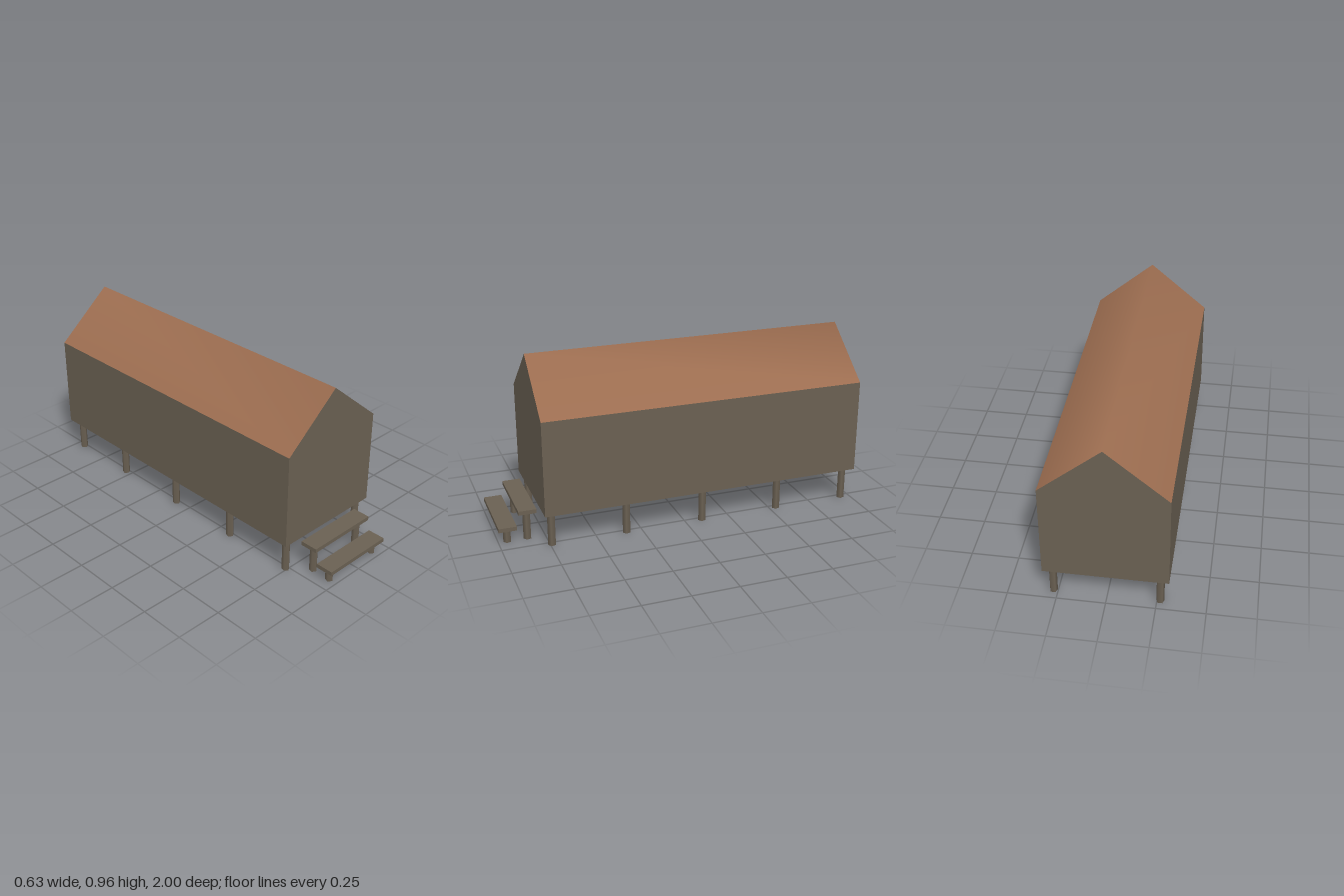
import * as THREE from 'three';

const wood = new THREE.MeshStandardMaterial({ color: 0x6a6052, side: THREE.DoubleSide });
wood.name = 'weathered wood';
const roofBrown = new THREE.MeshStandardMaterial({ color: 0x9c6d50, side: THREE.DoubleSide });
roofBrown.name = 'roof brown';

// Hut outline
const LEFT = 0.314, RIGHT = -0.314, FRONT = 0.78, BACK = -1;
const FLOOR = 0.18, EAVE = 0.694, RIDGE = 0.956;

function addMesh(parent, name, geometry, material, x = 0, y = 0, z = 0) {
  const mesh = new THREE.Mesh(geometry, material);
  mesh.name = name;
  mesh.position.set(x, y, z);
  parent.add(mesh);
  return mesh;
}

// Five-sided post standing on the ground
function addPost(parent, name, x, z, height) {
  addMesh(parent, name, new THREE.CylinderGeometry(0.021, 0.021, height, 5), wood, x, height / 2, z);
}

export function createModel() {
  const group = new THREE.Group();
  group.name = 'stiltHut';

  // Thin gable walls; the hut is open underneath
  const gable = new THREE.ShapeGeometry(new THREE.Shape([
    new THREE.Vector2(RIGHT, FLOOR), new THREE.Vector2(LEFT, FLOOR),
    new THREE.Vector2(LEFT, EAVE), new THREE.Vector2(0, RIDGE), new THREE.Vector2(RIGHT, EAVE),
  ]));
  addMesh(group, 'frontWall', gable, wood, 0, 0, FRONT);
  addMesh(group, 'backWall', gable, wood, 0, 0, BACK).rotation.y = Math.PI;

  // Long side walls
  const side = new THREE.PlaneGeometry(FRONT - BACK, EAVE - FLOOR);
  for (const [name, x, turn] of [['leftWall', LEFT, 1], ['rightWall', RIGHT, -1]]) {
    addMesh(group, name, side, wood, x, (EAVE + FLOOR) / 2, (FRONT + BACK) / 2)
      .rotation.y = turn * Math.PI / 2;
  }

  // Roof sheet with normals blended over the ridge
  const roof = new THREE.BufferGeometry();
  roof.setAttribute('position', new THREE.Float32BufferAttribute([
    RIGHT, EAVE, FRONT, 0, RIDGE, FRONT, LEFT, EAVE, FRONT,
    RIGHT, EAVE, BACK, 0, RIDGE, BACK, LEFT, EAVE, BACK,
  ], 3));
  roof.setIndex([0, 1, 4, 0, 4, 3, 1, 2, 5, 1, 5, 4]);
  roof.computeVertexNormals();
  addMesh(group, 'roof', roof, roofBrown);

  // Stilts in two rows
  for (const z of [0.741, 0.336, -0.094, -0.537, -0.944]) {
    addPost(group, 'rightStilt', -0.267, z, FLOOR);
    addPost(group, 'leftStilt', 0.273, z, FLOOR);
  }

  // Two plank steps, each on a pair of posts
  const plank = new THREE.BoxGeometry(0.41, 0.022, 0.096);
  for (const [name, y, z, postZ] of [
    ['upperStep', 0.164, 0.845, 0.845], ['lowerStep', 0.082, 0.952, 0.952],
  ]) {
    const step = new THREE.Group();
    step.name = name;
    addMesh(step, 'plank', plank, wood, -0.012, y, z);
    for (const x of [-0.173, 0.158]) addPost(step, 'stepPost', x, postZ, y - 0.011);
    group.add(step);
  }
  return group;
}
